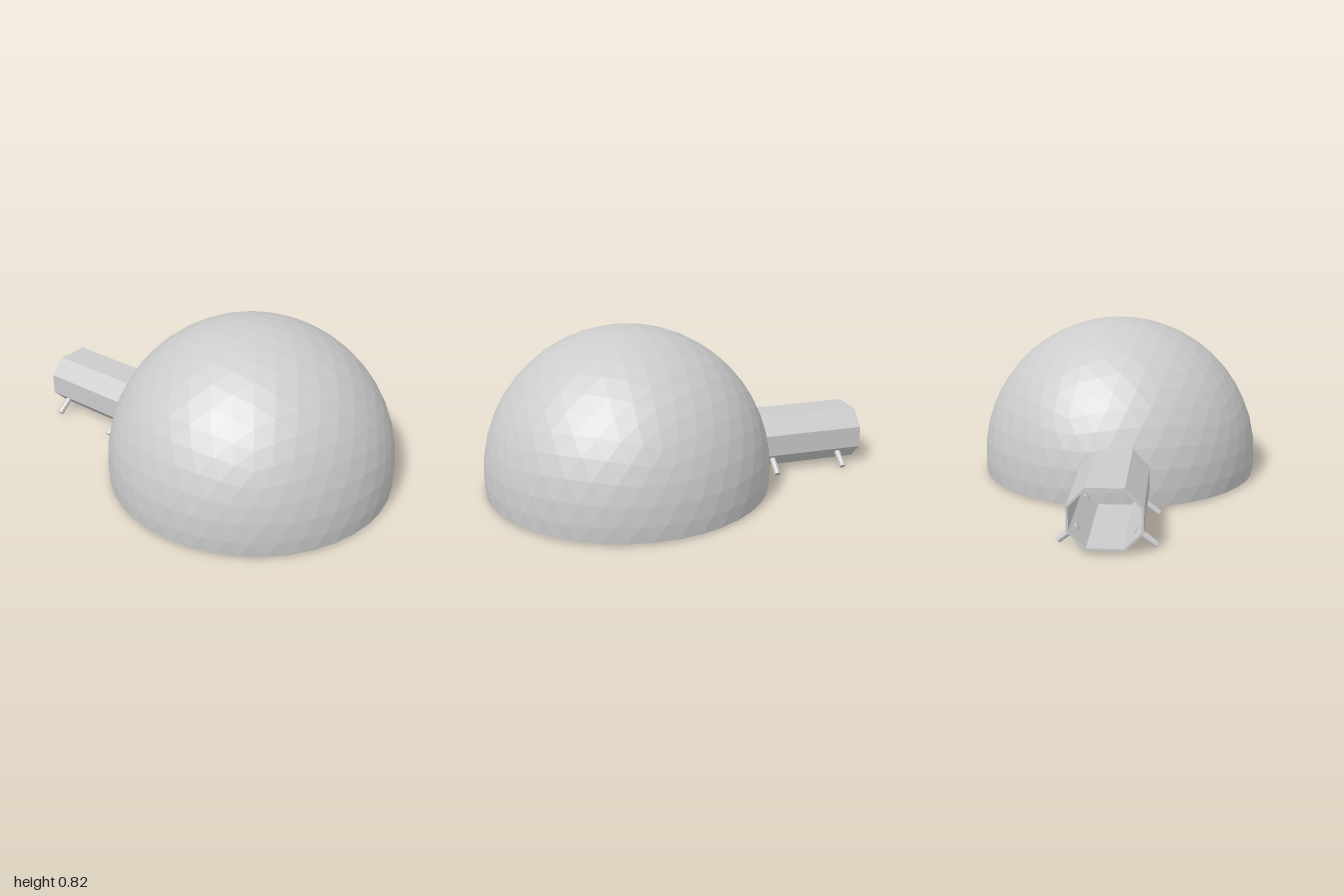
import * as THREE from 'three';

const material = new THREE.MeshStandardMaterial({ color: 0xcccccc, flatShading: true, side: THREE.DoubleSide });

function addMesh(parent, name, geometry) {
  const mesh = new THREE.Mesh(geometry, material);
  mesh.name = name;
  parent.add(mesh);
  return mesh;
}

// Geodesic sphere with everything under the cut pressed into a flat floor
function domeGeometry(radius, cut) {
  const geometry = new THREE.IcosahedronGeometry(radius, 7);
  geometry.rotateZ(-Math.atan(2 / (1 + Math.sqrt(5))));
  const rim = Math.sqrt(radius * radius - cut * cut);
  const p = geometry.attributes.position;
  for (let i = 0; i < p.count; i++) {
    const x = p.getX(i), y = p.getY(i), z = p.getZ(i);
    if (y >= cut) continue;
    // vertices just below the cut form the rim
    const s = y > cut - 0.11 ? rim / Math.hypot(x, z) : 1;
    p.setXYZ(i, x * s, cut, z * s);
  }
  geometry.computeVertexNormals();
  return geometry;
}

// Corners of the stretched octagon of the entrance tunnel
function octagon(inset) {
  const w = 0.163 - inset, h = 0.1375 - inset;
  const a = 0.083 - inset * 0.4, b = 0.056 - inset * 0.4;
  return [[w, -b], [w, b], [a, h], [-a, h], [-w, b], [-w, -b], [-a, -h], [a, -h]]
    .map(([x, y]) => new THREE.Vector2(x, y));
}

export function createModel() {
  const model = new THREE.Group();
  model.name = 'domeShelter';

  // Main dome
  addMesh(model, 'dome', domeGeometry(0.735, -0.08)).position.set(0, 0.085, 0.265);

  // Open entrance tunnel at the back
  const tunnel = new THREE.Group();
  tunnel.name = 'entrance';
  tunnel.position.x = -0.028;
  model.add(tunnel);
  const shape = new THREE.Shape(octagon(0));
  shape.holes.push(new THREE.Path(octagon(0.01).reverse()));
  const wall = new THREE.ExtrudeGeometry(shape, { depth: 0.58, bevelEnabled: false });
  addMesh(tunnel, 'tunnelWall', wall).position.set(0, 0.1525, -1);

  // Slanted pegs holding the tunnel down, slightly staggered between sides
  const up = new THREE.Vector3(0, 1, 0);
  for (const side of [-1, 1]) {
    for (const z of [-0.895, -0.515]) {
      const foot = new THREE.Vector3(side * 0.213, 0.012, z + side * 0.013);
      const head = new THREE.Vector3(side * 0.125, 0.08, z + side * 0.013);
      const axis = head.clone().sub(foot);
      const peg = addMesh(tunnel, side > 0 ? 'leftPeg' : 'rightPeg',
        new THREE.CylinderGeometry(0.016, 0.016, axis.length(), 8));
      peg.position.copy(foot).add(head).multiplyScalar(0.5);
      peg.quaternion.setFromUnitVectors(up, axis.normalize());
    }
  }
  return model;
}
